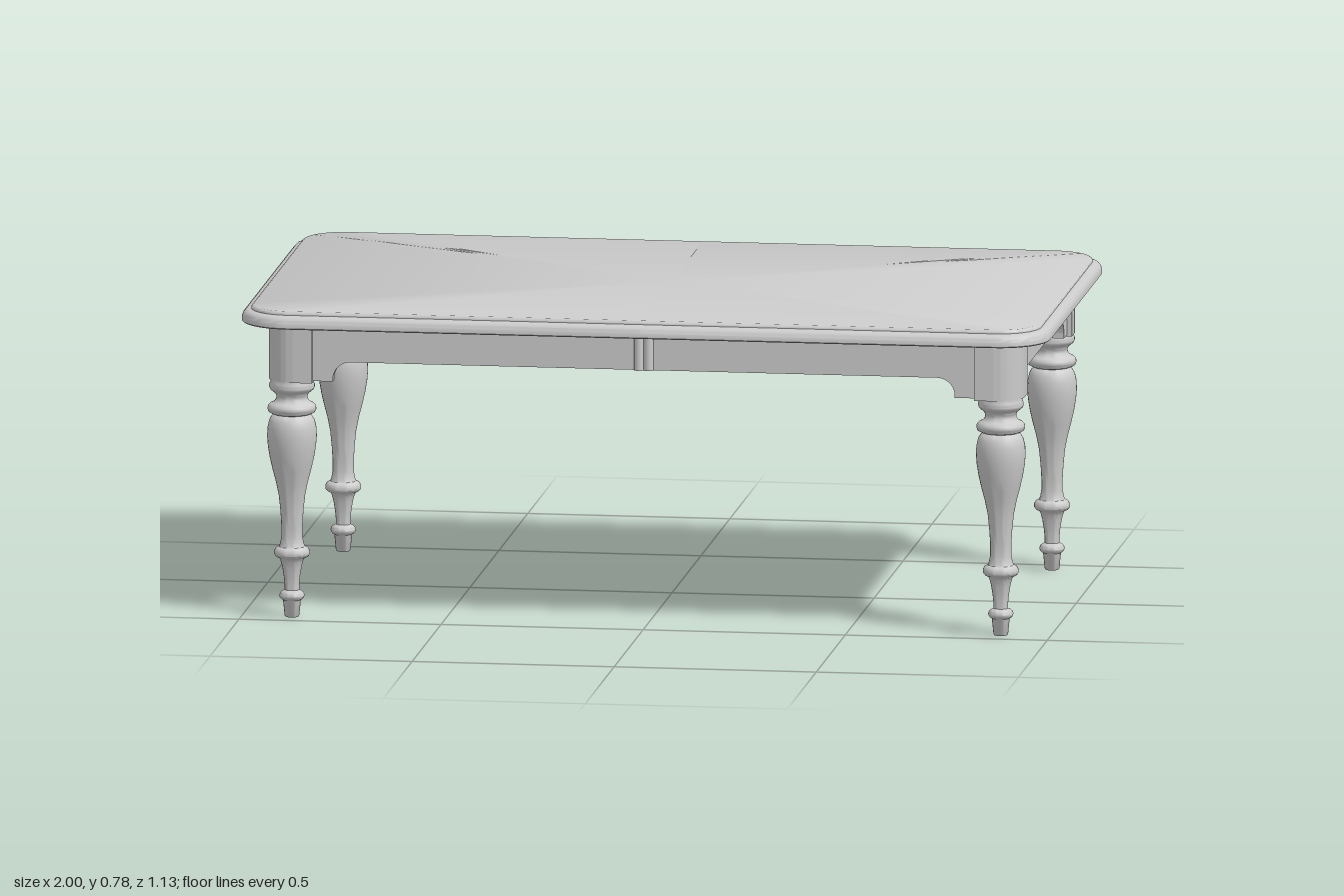
import * as THREE from 'three';
import { toCreasedNormals } from 'three/addons/utils/BufferGeometryUtils.js';

const material = new THREE.MeshStandardMaterial({ color: 0xcccccc });
const LEG_X = 0.877, LEG_Z = 0.443, POST = 0.0575, TOP_Y = 0.736, POST_Y = 0.592;

function add(parent, name, geometry) {
  const mesh = new THREE.Mesh(geometry, material);
  mesh.name = name;
  parent.add(mesh);
  return mesh;
}

// Half of the tabletop: rounded outlines stacked along the edge moulding
function topHalfGeometry() {
  const W = 1, D = 0.565, R = 0.125, STEPS = 12;
  const profile = [ // [inset, y]
    [0.004, 0.736], [0, 0.739], [0, 0.75], [0.003, 0.758], [0.009, 0.764], [0.017, 0.767],
    [0.023, 0.768], [0.023, 0.772], [0.025, 0.775], [0.029, 0.777],
  ];
  const loop = (inset, y) => {
    const r = R - inset, pts = [[0, y, D - inset]];
    for (const side of [1, -1]) {
      for (let i = 0; i <= STEPS; i++) {
        const a = (side > 0 ? Math.PI / 2 : 0) - (i / STEPS) * Math.PI / 2;
        pts.push([W - R + r * Math.cos(a), y, side * (D - R) + r * Math.sin(a)]);
      }
    }
    pts.push([0, y, inset - D]);
    return pts;
  };
  const rings = profile.map(([inset, y]) => loop(inset, y));
  const n = rings[0].length, last = rings.length - 1;
  const pos = rings.flat(2), index = [];
  for (let j = 0; j < last; j++) {
    for (let i = 0; i < n - 1; i++) {
      const a = j * n + i, b = a + 1, c = a + n, d = c + 1;
      index.push(a, b, d, a, d, c);
    }
  }
  // Top and underside as fans from the middle of the seam
  const bottom = pos.length / 3, top = bottom + 1;
  pos.push(0, profile[0][1], 0, 0, profile[last][1], 0);
  for (let i = 0; i < n - 1; i++) {
    index.push(bottom, i + 1, i, top, last * n + i, last * n + i + 1);
  }
  const g = new THREE.BufferGeometry();
  g.setAttribute('position', new THREE.Float32BufferAttribute(pos, 3));
  g.setIndex(index);
  return toCreasedNormals(g, 0.6);
}

// Turned leg with rings, bulb and tapered foot
function legGeometry() {
  const pts = [
    [0, 0], [0.016, 0], [0.018, 0.003], [0.022, 0.042], [0.026, 0.044], [0.03, 0.049], [0.031, 0.054],
    [0.029, 0.06], [0.024, 0.064], [0.018, 0.067], [0.018, 0.08], [0.02, 0.1], [0.024, 0.125],
    [0.028, 0.14], [0.031, 0.146], [0.039, 0.15], [0.044, 0.156], [0.044, 0.164], [0.04, 0.171],
    [0.032, 0.175], [0.029, 0.182], [0.026, 0.2], [0.026, 0.225], [0.028, 0.26], [0.032, 0.3],
    [0.039, 0.335], [0.047, 0.365], [0.054, 0.395], [0.059, 0.425], [0.061, 0.45], [0.06, 0.472],
    [0.056, 0.49], [0.05, 0.5], [0.043, 0.505], [0.05, 0.507], [0.057, 0.511], [0.06, 0.518],
    [0.059, 0.526], [0.053, 0.532], [0.044, 0.536], [0.039, 0.543], [0.038, 0.55], [0.041, 0.557],
    [0.047, 0.562], [0.053, 0.567], [0.056, 0.573], [0.056, 0.58], [0.053, 0.585], [0.053, 0.594],
  ].map(([r, y]) => new THREE.Vector2(r, y));
  return toCreasedNormals(new THREE.LatheGeometry(pts, 32), 0.7);
}

// Square post with its outer corner (+x, +z) rounded
function postGeometry() {
  const s = POST, r = 0.07, shape = new THREE.Shape();
  shape.moveTo(-s, -s);
  shape.lineTo(-s, s);
  shape.lineTo(s, s);
  shape.lineTo(s, -s + r);
  shape.absarc(s - r, -s + r, r, 0, -Math.PI / 2, true);
  shape.lineTo(-s, -s);
  const g = new THREE.ExtrudeGeometry(shape, { depth: TOP_Y - POST_Y, bevelEnabled: false, curveSegments: 12 });
  g.rotateX(-Math.PI / 2);
  return toCreasedNormals(g, 0.5);
}

// Apron board with a curved bracket at each end; its outer face is at z = 0
function apronGeometry(half) {
  const low = 0.596, mid = 0.645, r = mid - low - 0.005, b = half - 0.05, shape = new THREE.Shape();
  shape.moveTo(-half, TOP_Y);
  shape.lineTo(-half, low);
  shape.lineTo(-b, low);
  shape.lineTo(-b, mid - r);
  shape.absarc(-b + r, mid - r, r, Math.PI, Math.PI / 2, true);
  shape.lineTo(b - r, mid);
  shape.absarc(b - r, mid - r, r, Math.PI / 2, 0, true);
  shape.lineTo(b, low);
  shape.lineTo(half, low);
  shape.lineTo(half, TOP_Y);
  const g = new THREE.ExtrudeGeometry(shape, { depth: 0.03, bevelEnabled: false, curveSegments: 10 });
  g.translate(0, 0, -0.03);
  return toCreasedNormals(g, 0.5);
}

export function createModel() {
  const table = new THREE.Group();
  table.name = 'diningTable';

  // Tabletop in two leaves meeting at x = 0
  const leaf = topHalfGeometry();
  add(table, 'leftTopLeaf', leaf);
  add(table, 'rightTopLeaf', leaf).rotation.y = Math.PI;

  // Four corners, each post turned so the rounded edge faces outwards
  const post = postGeometry(), leg = legGeometry();
  [[1, 1], [1, -1], [-1, -1], [-1, 1]].forEach(([sx, sz], i) => {
    const corner = new THREE.Group();
    corner.name = (sz > 0 ? 'front' : 'back') + (sx > 0 ? 'Left' : 'Right') + 'Leg';
    corner.position.set(sx * LEG_X, 0, sz * LEG_Z);
    corner.rotation.y = i * Math.PI / 2;
    add(corner, 'cornerPost', post).position.y = POST_Y;
    add(corner, 'turnedLeg', leg);
    table.add(corner);
  });

  // Aprons, with a pair of beads over the joint of each long one
  const longApron = apronGeometry(LEG_X - POST), shortApron = apronGeometry(LEG_Z - POST);
  const bead = new THREE.CylinderGeometry(0.012, 0.012, TOP_Y - 0.645, 16);
  for (const s of [1, -1]) {
    const long = new THREE.Group();
    long.name = s > 0 ? 'frontApron' : 'backApron';
    long.rotation.y = s > 0 ? 0 : Math.PI;
    long.position.z = s * 0.488;
    add(long, 'longApronBoard', longApron);
    for (const x of [-0.012, 0.012]) {
      add(long, 'jointBead', bead).position.set(x, (TOP_Y + 0.645) / 2, 0.002);
    }
    table.add(long);

    const short = add(table, s > 0 ? 'leftApron' : 'rightApron', shortApron);
    short.rotation.y = s * Math.PI / 2;
    short.position.x = s * 0.922;
  }
  return table;
}
